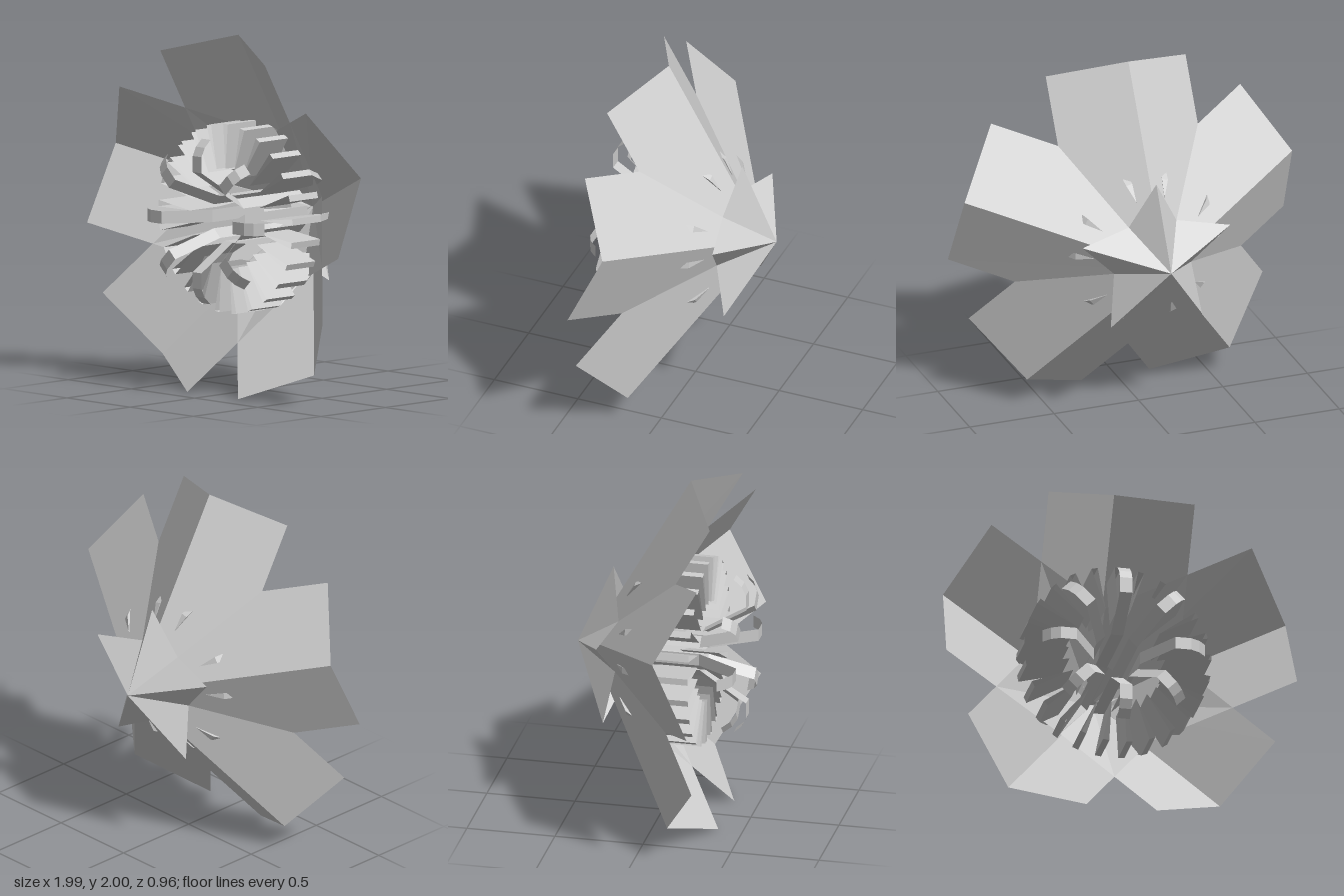
import * as THREE from 'three';

const material = new THREE.MeshStandardMaterial({ color: 0xcccccc, flatShading: true, side: THREE.DoubleSide });

// Flat-shaded mesh from convex polygons, each a loop of [x, y, z] corners
function facets(name, polygons) {
  const pos = [];
  for (const p of polygons)
    for (let i = 1; i < p.length - 1; i++) pos.push(...p[0], ...p[i], ...p[i + 1]);
  const g = new THREE.BufferGeometry();
  g.setAttribute('position', new THREE.Float32BufferAttribute(pos, 3));
  g.computeVertexNormals();
  const mesh = new THREE.Mesh(g, material);
  mesh.name = name;
  return mesh;
}

// Point at a given angle (degrees), radius and depth
function polar(deg, r, z) {
  const a = THREE.MathUtils.degToRad(deg);
  return [Math.cos(a) * r, Math.sin(a) * r, z];
}

// Petal pointing up: two flat halves folded along a ridge
function petal() {
  const half = s => [[0, 0, -0.42], [0, 1.02, 0.16], [s * 0.414, 0.91, 0.36], [s * 0.414, 0.137, -0.08]];
  return facets('petal', [half(1), half(-1)]);
}

// Five-pointed calyx wrapped around the back of the petals
function calyx() {
  const apex = [-0.013, 0, -0.48];
  const polys = [];
  for (let i = 0; i < 5; i++) {
    const mid = 90 + i * 72;
    const tip = polar(mid, 0.46, -0.28);
    for (const s of [-36, 36]) polys.push([apex, tip, polar(mid + s, 0.24, -0.22)]);
  }
  return facets('calyx', polys);
}

// Curled stamen ribbon pointing along +y
function stamen() {
  const path = [[0.13, -0.25], [0.13, 0.235], [0.28, 0.48], [0.37, 0.48], [0.42, 0.455], [0.46, 0.41]];
  const w = 0.035;
  const polys = [];
  for (let i = 0; i < path.length - 1; i++) {
    const [r0, z0] = path[i], [r1, z1] = path[i + 1];
    polys.push([[-w, r0, z0], [w, r0, z0], [w, r1, z1], [-w, r1, z1]]);
  }
  return facets('stamen', polys);
}

// Upright wedge-shaped filament along +y; rooted ones reach back through the petal
function filament(rooted) {
  const w = 0.018, inner = 0.28, outer = 0.53, low = 0.04, high = 0.26;
  const polys = [];
  for (const s of [-w, w])
    polys.push([[0, inner, low], [s, outer, low], [s, outer, high], [0, inner, high]]);
  polys.push([[-w, outer, low], [w, outer, low], [w, outer, high], [-w, outer, high]]);
  if (rooted) {
    const tip = [0, 0.335, -0.188], l = [-w, 0.425, -0.135], r = [w, 0.425, -0.135];
    polys.push([tip, l, r], [l, r, [w, outer, low], [-w, outer, low]]);
    for (const side of [l, r]) polys.push([tip, side, [side[0], outer, low], [0, inner, low]]);
  }
  return facets('filament', polys);
}

// Small funnel in the throat of the flower
function throat() {
  const polys = [];
  for (let i = 0; i < 10; i++)
    polys.push([[-0.013, 0, -0.42], polar(i * 36, 0.115, -0.15), polar(i * 36 + 36, 0.115, -0.15)]);
  return facets('throat', polys);
}

export function createModel() {
  const flower = new THREE.Group();
  flower.name = 'flower';
  flower.position.y = 0.98;

  const ring = (name, count, make) => {
    const group = new THREE.Group();
    group.name = name;
    for (let i = 0; i < count; i++) {
      const part = make(i);
      part.rotation.z = (i / count) * Math.PI * 2;
      group.add(part);
    }
    flower.add(group);
  };

  ring('petals', 5, petal);
  ring('stamens', 8, stamen);
  // Filaments either side of each petal ridge are the rooted ones
  ring('filaments', 25, i => filament(i % 5 === 1 || i % 5 === 4));
  flower.add(calyx(), throat());

  const model = new THREE.Group();
  model.name = 'model';
  model.add(flower);
  return model;
}
